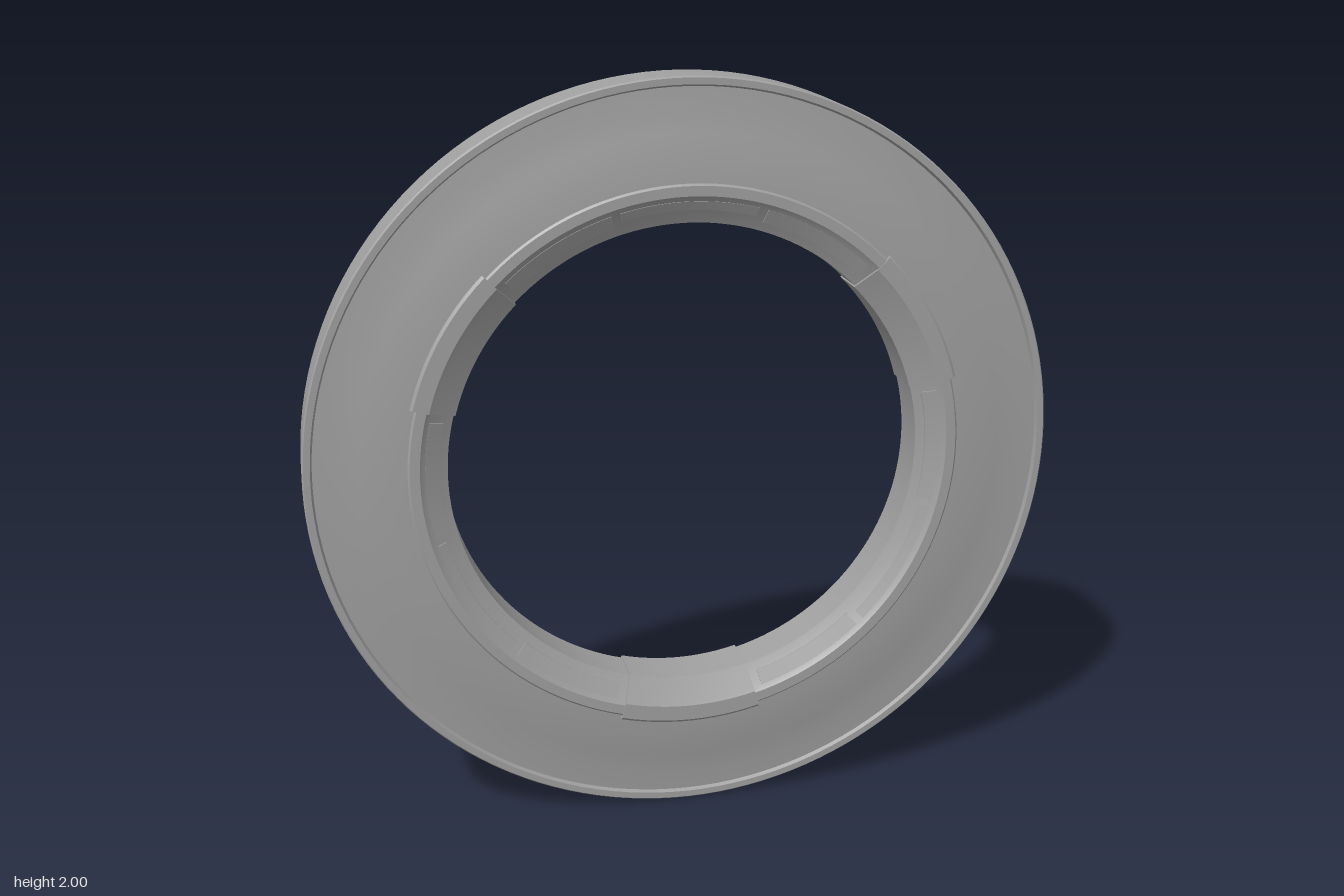
import * as THREE from 'three';
import { toCreasedNormals, mergeGeometries } from 'three/addons/utils/BufferGeometryUtils.js';

const RAD = Math.PI / 180;

// Close a half profile [radius, depth] by mirroring it to the other side.
function mirrored(half) {
  const back = half.map(([r, z]) => [r, -z]);
  return [...back, ...half.slice().reverse()];
}

// Sweep a closed counter-clockwise profile around the z axis; 0 degrees is the bottom.
function sweep(profile, start = 0, length = 360) {
  const pts = profile.map(([r, z]) => new THREE.Vector2(r, z));
  const steps = Math.max(4, Math.round(length / 2.5));
  const parts = [new THREE.LatheGeometry([...pts, pts[0].clone()], steps, start * RAD, length * RAD)];
  if (length < 360) {
    [start, start + length].forEach((angle, end) => {
      const cap = new THREE.ShapeGeometry(new THREE.Shape(pts));
      if (end) cap.index.array.reverse();
      cap.rotateY(angle * RAD - Math.PI / 2);
      parts.push(cap);
    });
  }
  const flat = parts.map((g) => {
    const n = g.toNonIndexed();
    n.deleteAttribute('uv');
    return n;
  });
  return toCreasedNormals(mergeGeometries(flat), 25 * RAD).rotateX(Math.PI / 2);
}

export function createModel() {
  const model = new THREE.Group();
  model.name = 'ring';
  const grey = new THREE.MeshStandardMaterial({ color: 0xa0a0a0 });
  grey.name = 'grey';

  const add = (name, geometry, parent = model) => {
    const mesh = new THREE.Mesh(geometry, grey);
    mesh.name = name;
    parent.add(mesh);
  };

  // Main ring: bore, gently sloping faces and a raised lip at the rim
  const body = mirrored([
    [1, 0.066], [0.996, 0.071], [0.979, 0.071], [0.974, 0.061],
    [0.92, 0.065], [0.86, 0.073], [0.8, 0.084], [0.72, 0.088], [0.632, 0.05],
  ].reverse());
  add('ringBody', sweep(body));

  // Collar standing proud of both faces, sloping into the bore
  const collar = mirrored([
    [0.632, 0.056], [0.695, 0.088], [0.706, 0.097], [0.732, 0.097], [0.737, 0.092], [0.737, 0.07],
  ]);
  add('collar', sweep(collar));

  // Three chamfered pads, each spanning 30 degrees
  const pad = mirrored([
    [0.628, 0.062], [0.688, 0.093], [0.7, 0.1], [0.742, 0.1], [0.749, 0.094], [0.749, 0.07],
  ]);
  for (let i = 0; i < 3; i++) add('pad', sweep(pad, i * 120 - 15, 30));

  // Thin raised strips on the collar slope between the pads
  const slope = (r) => 0.056 + (r - 0.632) * 0.508;
  const strip = (inner, outer) => [
    [inner, slope(inner) - 0.003], [outer, slope(outer) - 0.003],
    [outer, slope(outer) + 0.004], [inner, slope(inner) + 0.004],
  ];
  const strips = new THREE.Group();
  strips.name = 'collarStrips';
  for (let i = 0; i < 3; i++) {
    const middle = 60 + i * 120;
    for (const [inner, offset, length] of [[0.655, -43, 26], [0.668, -15, 30], [0.655, 17, 26]]) {
      const front = strip(inner, 0.692);
      const back = front.map(([r, z]) => [r, -z]).reverse();
      add('frontStrip', sweep(front, middle + offset, length), strips);
      add('backStrip', sweep(back, middle + offset, length), strips);
    }
  }
  model.add(strips);

  model.position.y = 1;
  const root = new THREE.Group();
  root.add(model);
  return root;
}
